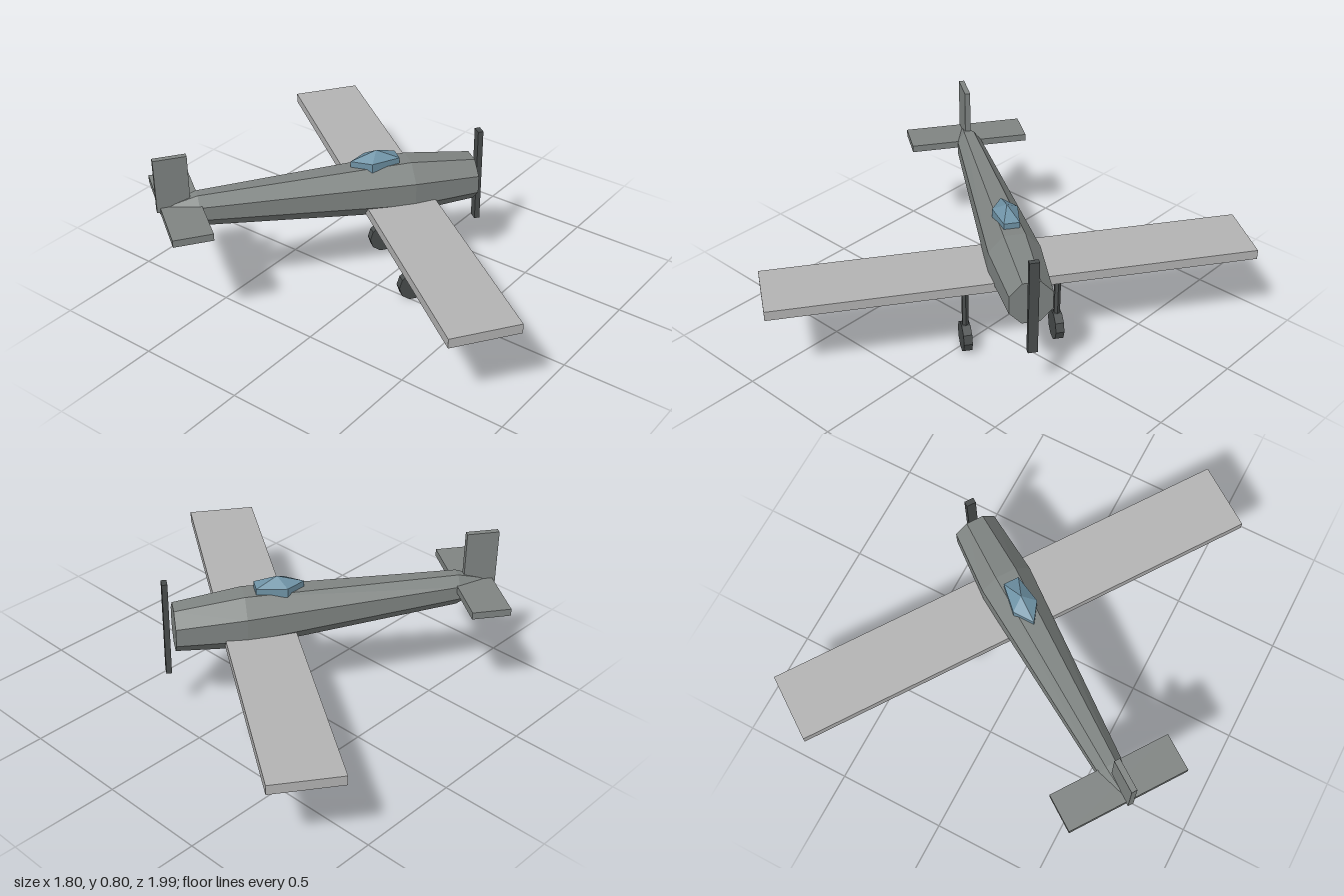
import * as THREE from 'three';

const material = (name, color) => {
  const m = new THREE.MeshStandardMaterial({ color, flatShading: true });
  m.name = name;
  return m;
};

// Loft of octagonal cross-sections, ordered tail to nose: [z, centreY, halfWidth, halfHeight]
function loft(sections, sides = 8) {
  const k = 1 / Math.cos(Math.PI / sides);
  const point = ([z, y, w, h], j) => {
    const a = ((j + 0.5) / sides) * Math.PI * 2;
    return [Math.cos(a) * w * k, y + Math.sin(a) * h * k, z];
  };
  const out = [];
  const first = sections[0], last = sections[sections.length - 1];
  for (let j = 0; j < sides; j++) {
    for (let i = 0; i < sections.length - 1; i++) {
      const a = point(sections[i], j), b = point(sections[i], j + 1);
      const c = point(sections[i + 1], j + 1), d = point(sections[i + 1], j);
      out.push(...a, ...b, ...c, ...a, ...c, ...d);
    }
    out.push(0, last[1], last[0], ...point(last, j), ...point(last, j + 1));
    out.push(0, first[1], first[0], ...point(first, j + 1), ...point(first, j));
  }
  const g = new THREE.BufferGeometry();
  g.setAttribute('position', new THREE.Float32BufferAttribute(out, 3));
  g.computeVertexNormals();
  return g;
}

export function createModel() {
  const body = material('body grey', 0x808583);
  const wingGrey = material('wing light grey', 0xb4b4b4);
  const dark = material('dark grey', 0x494d4d);
  const glass = material('canopy blue', 0x6f93a6);

  const plane = new THREE.Group();
  plane.name = 'airplane';
  const add = (name, geometry, mat, x, y, z) => {
    const m = new THREE.Mesh(geometry, mat);
    m.name = name;
    m.position.set(x, y, z);
    plane.add(m);
    return m;
  };

  // Fuselage
  add('fuselage', loft([
    [-0.965, 0.55, 0.012, 0.012],
    [-0.8, 0.535, 0.058, 0.075],
    [0.17, 0.485, 0.118, 0.13],
    [0.481, 0.47, 0.097, 0.102],
  ]), body, 0, 0, 0);

  // Wing and tail surfaces
  add('wing', new THREE.BoxGeometry(2.21, 0.045, 0.317), wingGrey, 0, 0.4175, 0.108);
  add('tailplane', new THREE.BoxGeometry(0.568, 0.033, 0.175), body, 0, 0.555, -0.875);
  add('fin', new THREE.BoxGeometry(0.026, 0.255, 0.147), body, 0, 0.6775, -0.904);

  // Propeller
  add('propeller', new THREE.BoxGeometry(0.044, 0.46, 0.025), dark, 0, 0.469, 0.513);

  // Five-sided canopy: upright walls and a pointed roof
  const walls = add('canopyWalls', new THREE.CylinderGeometry(1, 1, 0.042, 5, 1, true), glass, 0, 0.621, 0.02);
  const roof = add('canopyRoof', new THREE.ConeGeometry(1, 0.038, 5, 1, true), glass, 0, 0.661, 0.02);
  for (const part of [walls, roof]) {
    part.geometry.rotateY(Math.PI);
    part.geometry.scale(0.061, 1, 0.121);
  }

  // Landing gear
  for (const [side, s] of [['left', 1], ['right', -1]]) {
    add(side + 'Strut', new THREE.CylinderGeometry(0.016, 0.016, 0.28, 6), dark, s * 0.214, 0.22, 0.126);
    const wheel = new THREE.CylinderGeometry(0.072, 0.072, 0.04, 10);
    wheel.rotateZ(Math.PI / 2);
    add(side + 'Wheel', wheel, dark, s * 0.214, 0.072, 0.126);
  }

  // Heading of the whole airplane
  plane.rotation.y = THREE.MathUtils.degToRad(55);
  plane.position.set(0.046, 0, -0.066);

  const model = new THREE.Group();
  model.name = 'model';
  model.add(plane);
  return model;
}
